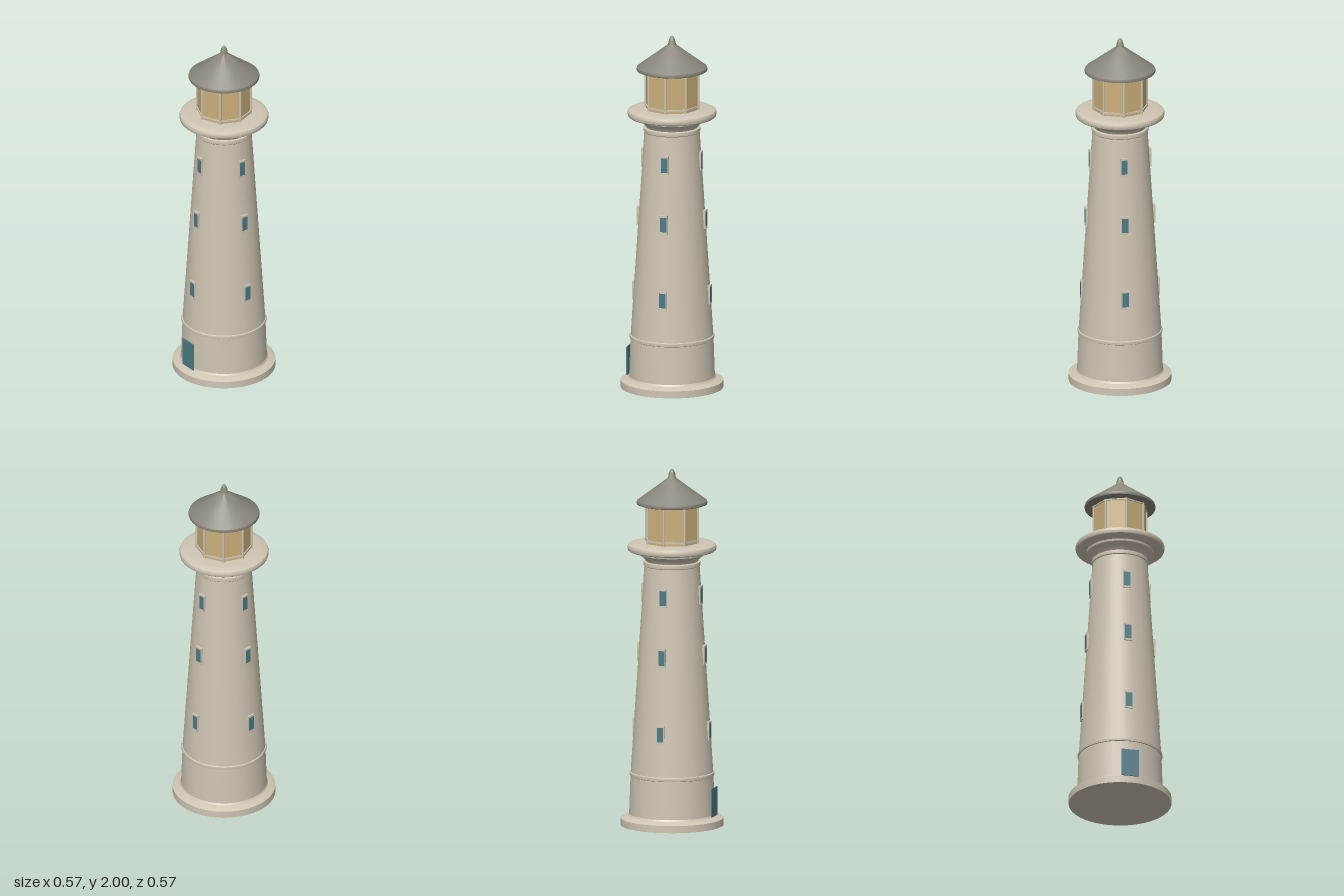
import * as THREE from 'three';
import { toCreasedNormals } from 'three/addons/utils/BufferGeometryUtils.js';

const material = (name, color) => {
  const m = new THREE.MeshStandardMaterial({ color });
  m.name = name;
  return m;
};

export function createModel() {
  const stone = material('stone', 0xcfc5b3);
  const slate = material('roof slate', 0x89867a);
  const amber = material('lantern glass', 0xcbb07a);
  const teal = material('teal paint', 0x4c7a86);

  const model = new THREE.Group();
  model.name = 'lighthouse';

  const add = (name, geometry, mat, x = 0, y = 0, z = 0, parent = model) => {
    const mesh = new THREE.Mesh(geometry, mat);
    mesh.name = name;
    mesh.position.set(x, y, z);
    parent.add(mesh);
    return mesh;
  };
  // Turned part from [radius, height] pairs, listed bottom to top
  const turned = (name, profile, mat) => {
    const points = profile.map(([r, y]) => new THREE.Vector2(r, y));
    return add(name, toCreasedNormals(new THREE.LatheGeometry(points, 48), 0.6), mat);
  };

  // Plinth, tower and mouldings
  turned('plinth', [[0, 0], [0.285, 0], [0.285, 0.04], [0.265, 0.05], [0.244, 0.055], [0.238, 0.065]], stone);
  turned('lowerWall', [[0.238, 0.055], [0.23, 0.28]], stone);
  turned('beltMoulding', [[0.229, 0.277], [0.234, 0.28], [0.236, 0.289], [0.234, 0.298], [0.228, 0.301]], stone);
  turned('tower', [[0.2295, 0.29], [0.153, 1.46]], stone);
  turned('collar', [[0.152, 1.455], [0.157, 1.46], [0.158, 1.47], [0.157, 1.48], [0.142, 1.484]], stone);
  turned('cornice', [[0.142, 1.478], [0.148, 1.492], [0.165, 1.508], [0.185, 1.523], [0.188, 1.54]], stone);

  // Gallery with a softly rounded rim
  turned('gallery', [
    [0, 1.535], [0.19, 1.535], [0.236, 1.54], [0.244, 1.546], [0.247, 1.556],
    [0.247, 1.566], [0.243, 1.576], [0.232, 1.582], [0.2, 1.586], [0, 1.587],
  ], stone);

  // Eight-sided lantern room
  const lantern = new THREE.Group();
  lantern.name = 'lantern';
  model.add(lantern);
  add('lanternGlass', toCreasedNormals(new THREE.CylinderGeometry(0.15, 0.15, 0.23, 8), 0.3), amber, 0, 1.695, 0, lantern);
  const edge = 2 * 0.152 * Math.sin(Math.PI / 8);
  for (let i = 0; i < 8; i++) {
    const post = i * Math.PI / 4;
    add('lanternPost', new THREE.CylinderGeometry(0.007, 0.007, 0.225, 8), stone,
      0.151 * Math.sin(post), 1.695, 0.151 * Math.cos(post), lantern);
    const mid = post + Math.PI / 8;
    const inner = 0.151 * Math.cos(Math.PI / 8);
    for (const y of [1.604, 1.798]) {
      add('lanternRail', new THREE.BoxGeometry(edge, 0.01, 0.01), stone,
        inner * Math.sin(mid), y, inner * Math.cos(mid), lantern).rotation.y = mid;
    }
  }

  // Conical roof running up into a small finial
  turned('roof', [[0, 1.8], [0.185, 1.8], [0.195, 1.804], [0.197, 1.812], [0.194, 1.822], [0.1, 1.892], [0.02, 1.952]], slate);
  turned('finial', [[0.024, 1.948], [0.02, 1.958], [0.018, 1.972], [0.013, 1.987], [0.006, 1.997], [0, 2]], slate);

  // Three windows on each of four sides, standing slightly proud of the wall
  for (let side = 0; side < 4; side++) {
    const bay = new THREE.Group();
    bay.name = 'windowBay';
    bay.rotation.y = side * Math.PI / 2;
    model.add(bay);
    for (const [y, face] of [[0.538, 0.222], [0.965, 0.196], [1.298, 0.172]]) {
      add('windowFrame', new THREE.BoxGeometry(0.042, 0.085, 0.03), stone, 0, y, face - 0.019, bay);
      add('windowPane', new THREE.BoxGeometry(0.036, 0.082, 0.004), teal, 0, y, face - 0.003, bay);
      for (const s of [-1, 1]) {
        add('windowLedge', new THREE.BoxGeometry(0.044, 0.011, 0.034), stone, 0, y + s * 0.047, face - 0.017, bay);
        add('windowJamb', new THREE.BoxGeometry(0.004, 0.085, 0.034), stone, s * 0.02, y, face - 0.017, bay);
      }
    }
  }

  // Front door
  add('door', new THREE.BoxGeometry(0.1, 0.16, 0.006), teal, 0, 0.14, 0.246);

  return model;
}
